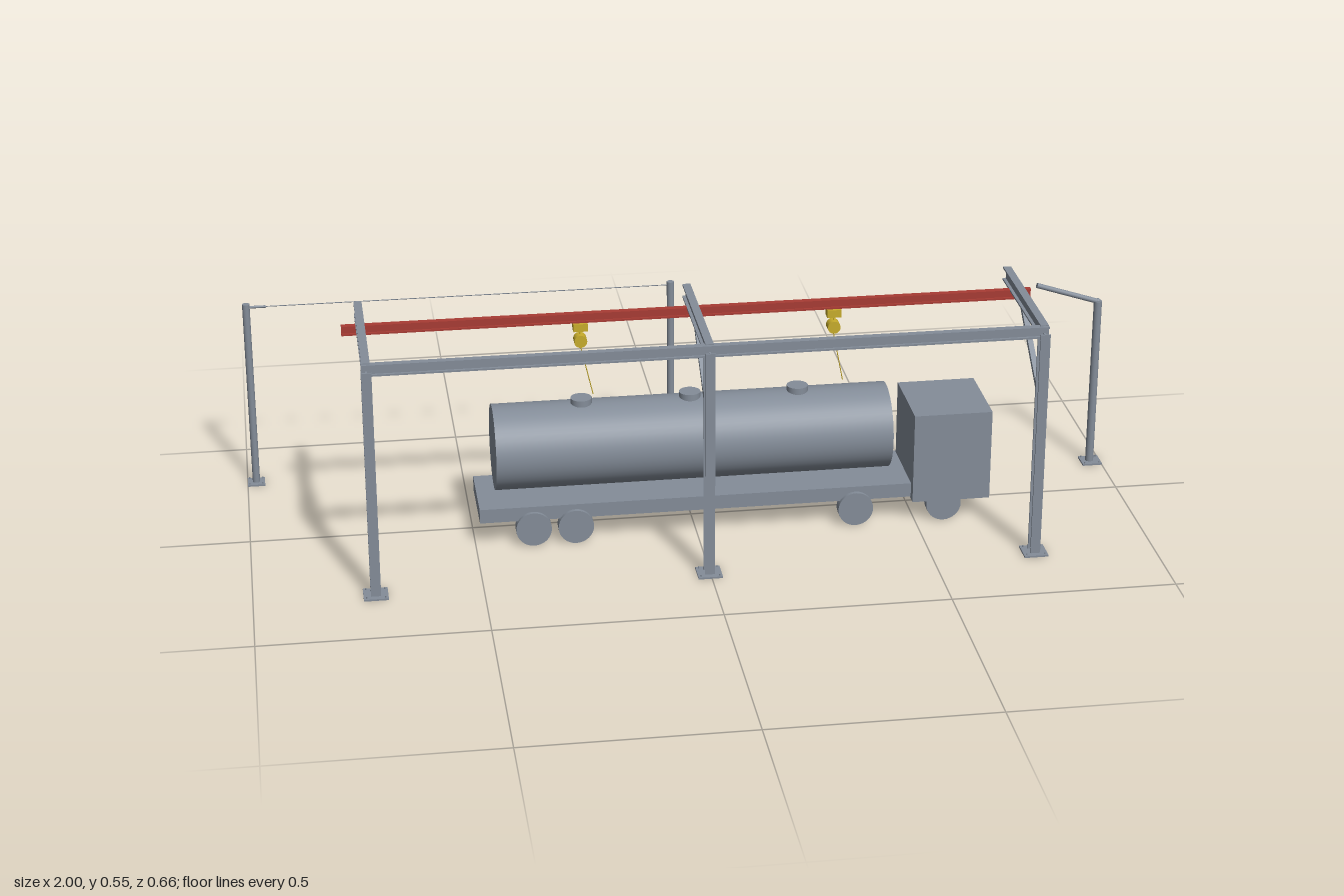
import * as THREE from 'three';

export function createModel() {
  const model = new THREE.Group();
  const mat = (name, color) => {
    const m = new THREE.MeshStandardMaterial({ color });
    m.name = name;
    return m;
  };
  const steel = mat('steelGrey', 0x848d99);
  const red = mat('railRed', 0xa83c34);
  const yellow = mat('hoistYellow', 0xc8ad2c);

  const add = (name, geo, m, x, y, z, parent = model) => {
    const mesh = new THREE.Mesh(geo, m);
    mesh.name = name;
    mesh.position.set(x, y, z);
    parent.add(mesh);
    return mesh;
  };
  const box = (name, w, h, d, x, y, z, m = steel, parent = model) =>
    add(name, new THREE.BoxGeometry(w, h, d), m, x, y, z, parent);

  // Round bar between two points
  const rod = (name, a, b, r, m = steel, sides = 12, parent = model) => {
    const p = new THREE.Vector3(...a), q = new THREE.Vector3(...b);
    const dir = q.clone().sub(p);
    const mesh = add(name, new THREE.CylinderGeometry(r, r, dir.length(), sides), m, 0, 0, 0, parent);
    mesh.position.copy(p).add(q).multiplyScalar(0.5);
    mesh.quaternion.setFromUnitVectors(new THREE.Vector3(0, 1, 0), dir.normalize());
    return mesh;
  };

  // I-section extruded along z, centred; w = flange width, h = depth
  const iBeam = (w, h, length, t = 0.004) => {
    const a = w / 2, b = h / 2, c = t / 2;
    const s = new THREE.Shape([
      [-a, -b], [a, -b], [a, -b + t], [c, -b + t], [c, b - t], [a, b - t],
      [a, b], [-a, b], [-a, b - t], [-c, b - t], [-c, -b + t], [-a, -b + t],
    ].map(([x, y]) => new THREE.Vector2(x, y)));
    return new THREE.ExtrudeGeometry(s, { depth: length, bevelEnabled: false }).translate(0, 0, -length / 2);
  };

  // Floor plate with four anchor bolts
  const basePlate = (x, z, size, parent) => {
    box('basePlate', size, 0.004, size, x, 0.002, z, steel, parent);
    for (const i of [-1, 1]) for (const j of [-1, 1]) {
      add('anchorBolt', new THREE.CylinderGeometry(0.0015, 0.0015, 0.008, 6), steel,
        x + i * size * 0.38, 0.004, z + j * size * 0.38, parent);
    }
  };

  // Gantry: columns, cantilevers and braces
  for (const x of [-0.735, -0.003, 0.73]) {
    const frame = new THREE.Group();
    frame.name = 'gantryFrame';
    model.add(frame);
    basePlate(x, 0.302, 0.054, frame);
    const column = iBeam(0.022, 0.027, 0.53).rotateX(-Math.PI / 2);
    add('column', column, steel, x, 0.265, 0.302, frame);
    add('cantileverBeam', iBeam(0.018, 0.032, 0.351), steel, x, 0.532, 0.1275, frame);
    const dy = 0.147, dz = -0.187;
    const brace = box('brace', 0.012, 0.011, Math.hypot(dy, dz), x, 0.441, 0.209, steel, frame);
    brace.rotation.x = Math.atan2(dy, -dz);
  }
  add('longitudinalBeam', iBeam(0.016, 0.026, 1.485).rotateY(Math.PI / 2), steel, -0.003, 0.533, 0.302);

  // Red rail below the cantilevers
  add('monorail', iBeam(0.015, 0.022, 1.545).rotateY(Math.PI / 2), red, -0.003, 0.508, 0.017);

  // Hoists with drum and cable
  for (const [x, lean] of [[-0.25, 0.028], [0.32, 0.025]]) {
    const hoist = new THREE.Group();
    hoist.name = 'hoist';
    model.add(hoist);
    box('trolley', 0.032, 0.018, 0.024, x, 0.487, 0.017, yellow, hoist);
    add('drum', new THREE.CylinderGeometry(0.0145, 0.0145, 0.024, 24).rotateX(Math.PI / 2), yellow, x, 0.454, 0.017, hoist);
    rod('hanger', [x, 0.48, 0.017], [x, 0.463, 0.017], 0.001, yellow, 6, hoist);
    rod('hoistCable', [x, 0.441, 0.017], [x + lean, 0.318, 0.008], 0.0011, yellow, 6, hoist);
  }

  // Tank truck
  const truck = new THREE.Group();
  truck.name = 'tankTruck';
  model.add(truck);
  box('chassis', 0.98, 0.033, 0.18, 0, 0.0755, 0.012, steel, truck);
  box('cab', 0.178, 0.213, 0.194, 0.581, 0.1565, 0.017, steel, truck);
  add('tank', new THREE.CylinderGeometry(0.097, 0.097, 0.895, 48).rotateZ(Math.PI / 2), steel, -0.003, 0.206, 0.017, truck);
  for (const x of [-0.25, -0.005, 0.24]) {
    add('hatch', new THREE.CylinderGeometry(0.024, 0.024, 0.02, 24), steel, x, 0.305, 0.017, truck);
  }
  for (const x of [-0.37, -0.275, 0.362, 0.565]) for (const z of [0.099, -0.064]) {
    add('wheel', new THREE.CylinderGeometry(0.04, 0.04, 0.024, 32).rotateX(Math.PI / 2), steel, x, 0.04, z, truck);
  }

  // Rear posts joined by a wire
  for (const x of [-0.98, -0.003]) {
    basePlate(x, -0.31, 0.04, model);
    rod('wirePost', [x, 0, -0.31], [x, 0.45, -0.31], 0.0085, steel, 20);
  }
  rod('wireTensioner', [-0.975, 0.442, -0.31], [-0.935, 0.442, -0.31], 0.003);
  rod('wire', [-0.95, 0.442, -0.31], [-0.003, 0.442, -0.31], 0.001, steel, 6);

  // Side post with a raised arm
  basePlate(0.977, -0.147, 0.046, model);
  rod('armPost', [0.975, 0, -0.147], [0.975, 0.41, -0.147], 0.0095, steel, 20);
  rod('arm', [0.975, 0.409, -0.147], [0.828, 0.457, -0.147], 0.006, steel, 16);
  add('armJoint', new THREE.SphereGeometry(0.0065, 16, 10), steel, 0.975, 0.41, -0.147);

  return model;
}
